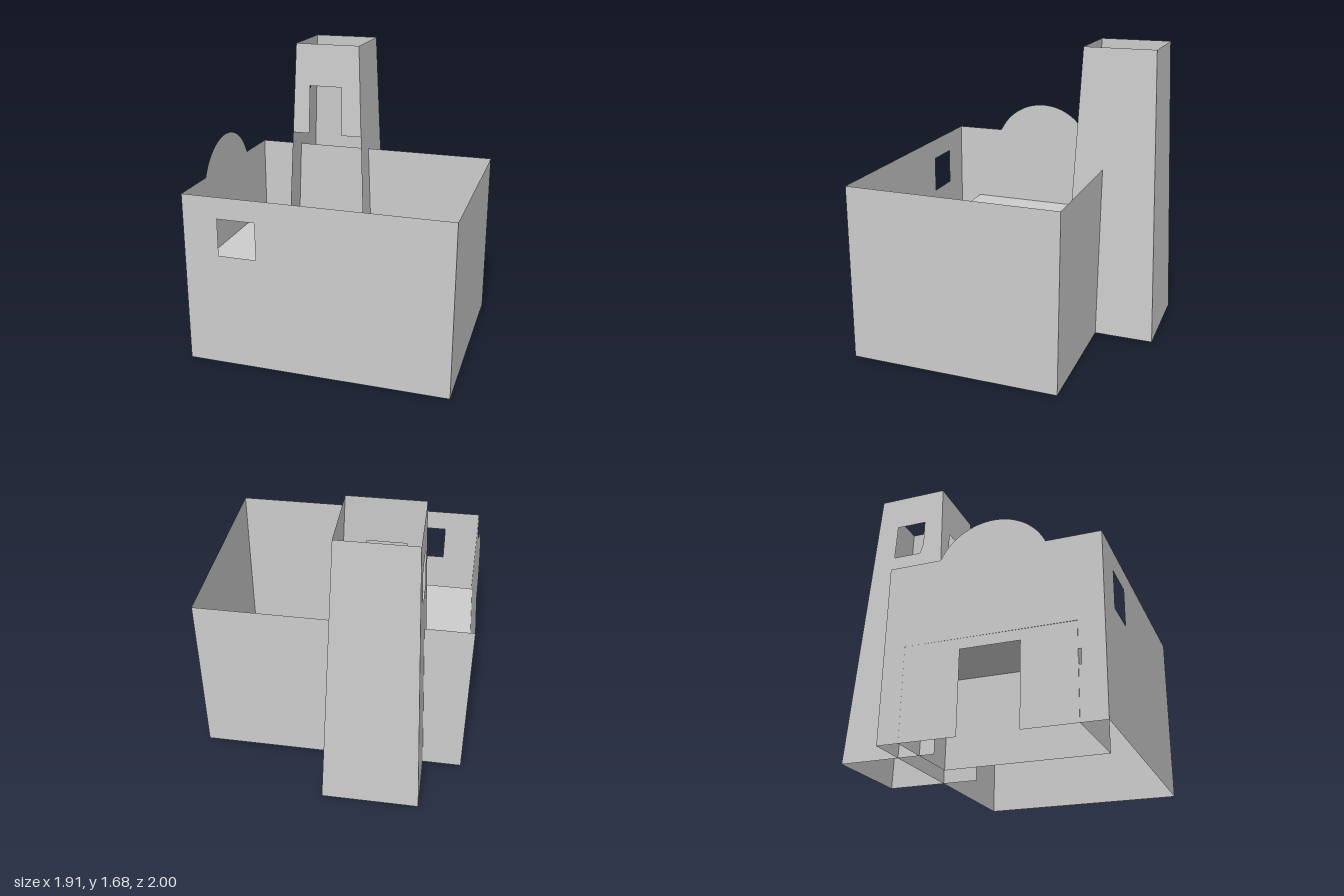
import * as THREE from 'three';

const plaster = new THREE.MeshStandardMaterial({ color: 0xcccccc, side: THREE.DoubleSide });
plaster.name = 'grey plaster';

// Flat outline from points
const outline = (pts, Type = THREE.Shape) => new Type(pts.map(p => new THREE.Vector2(...p)));
const rect = (u0, u1, y0, y1) => [[u0, y0], [u1, y0], [u1, y1], [u0, y1]];

// Thin panel: a flat shape in (u, y) placed in space by the rule place(u, y) -> [x, z]
function panel(name, shape, place) {
  const geo = new THREE.ShapeGeometry(shape, 24);
  const pos = geo.attributes.position;
  for (let i = 0; i < pos.count; i++) {
    const y = pos.getY(i);
    const [x, z] = place(pos.getX(i), y);
    pos.setXYZ(i, x, y, z);
  }
  geo.computeVertexNormals();
  const mesh = new THREE.Mesh(geo, plaster);
  mesh.name = name;
  return mesh;
}

// Upright placement along the ground line from a to b, u in units of length
function along(a, b) {
  const len = Math.hypot(b[0] - a[0], b[1] - a[1]);
  const d = [(b[0] - a[0]) / len, (b[1] - a[1]) / len];
  return { len, place: u => [a[0] + d[0] * u, a[1] + d[1] * u] };
}

export function createModel() {
  const model = new THREE.Group();
  model.name = 'chapel';

  // Nave corners: left, front, right, back
  const A = [-0.955, -0.07], B = [0.117, 1], C = [0.955, 0.16], D = [-0.115, -0.915];

  // Side wall with a small window
  const side = along(A, B);
  const sideShape = outline(rect(0, side.len, 0, 1));
  sideShape.holes.push(outline(rect(0.205, 0.424, 0.66, 0.875), THREE.Path));
  model.add(panel('windowWall', sideShape, side.place));

  // Plain walls
  for (const [name, p, q] of [['endWall', B, C], ['towerSideWall', C, D]]) {
    const w = along(p, q);
    model.add(panel(name, outline(rect(0, w.len, 0, 1)), w.place));
  }

  // Entrance wall with doorway, slit and curved gable
  const front = along(D, A), mid = front.len / 2;
  const r = 0.327, half = 0.297, cy = 1.19 - r, a0 = Math.atan2(1 - cy, half);
  const gable = new THREE.Shape();
  gable.moveTo(0, 0);
  gable.lineTo(mid - 0.163, 0);
  gable.lineTo(mid - 0.163, 0.46);
  gable.lineTo(mid + 0.163, 0.46);
  gable.lineTo(mid + 0.163, 0);
  gable.lineTo(front.len, 0);
  gable.lineTo(front.len, 1);
  gable.lineTo(mid + half, 1);
  gable.absarc(mid, cy, r, a0, Math.PI - a0, false);
  gable.lineTo(0, 1);
  gable.holes.push(outline(rect(1.055, 1.069, 0.29, 0.37), THREE.Path));
  model.add(panel('entranceWall', gable, front.place));

  // Loft inside the entrance: three walls and a flat top
  const loft = new THREE.Group();
  loft.name = 'loft';
  const L = [[-0.2, -0.83], [0.16, -0.46], [-0.5, 0.2], [-0.86, -0.17]], loftY = 0.52;
  for (let i = 0; i < 3; i++) {
    const w = along(L[i], L[i + 1]);
    loft.add(panel('loftWall', outline(rect(0, w.len, 0, loftY)), w.place));
  }
  const top = new THREE.Mesh(new THREE.ShapeGeometry(outline(L.map(([x, z]) => [x, -z]))), plaster);
  top.name = 'loftTop';
  top.rotation.x = -Math.PI / 2;
  top.position.y = loftY;
  loft.add(top);
  model.add(loft);

  // Tapered tower, open at top and bottom; u runs 0..1 across each face
  const tower = new THREE.Group();
  tower.name = 'tower';
  const H = 1.68, dirs = [[-1, 0], [0, 1], [1, 0], [0, -1]];
  const face = i => (u, y) => {
    const h = 0.385 - 0.098 * y / H, p = dirs[i], q = dirs[(i + 1) % 4];
    return [0.28 + h * (p[0] + (q[0] - p[0]) * u), -0.61 + h * (p[1] + (q[1] - p[1]) * u)];
  };
  // Inner face stands above the nave and has an open doorway
  const inner = outline([[0, 1.115], [0.24, 1.115], [0.24, 1.42], [0.72, 1.42],
    [0.72, 1.115], [1, 1.115], [1, H], [0, H]]);
  tower.add(panel('towerInnerFace', inner, face(0)));
  for (const i of [1, 2]) tower.add(panel('towerFace', outline(rect(0, 1, 0, H)), face(i)));
  const belfry = outline(rect(0, 1, 0, H));
  belfry.holes.push(outline(rect(0.31, 0.73, 1.255, 1.47), THREE.Path));
  tower.add(panel('towerWindowFace', belfry, face(3)));
  model.add(tower);

  return model;
}
